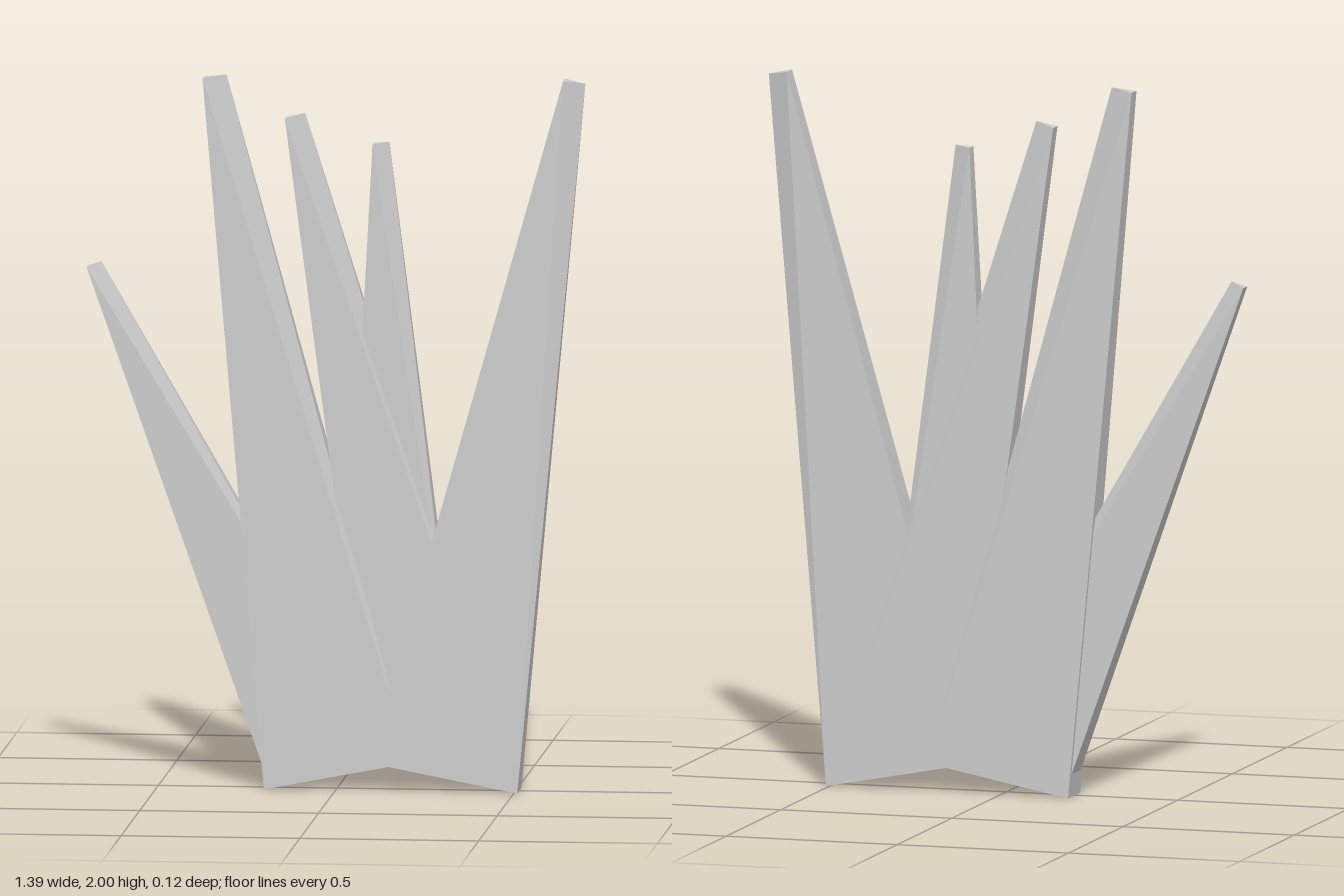
import * as THREE from 'three';

// One flat blade: a four-cornered base tapering to a three-cornered tip.
// Points are [x, y]; z is the middle plane, base/tip are thicknesses.
function blade(name, { baseL, baseR, tipL, tipR, z, base, tip }, material) {
  const b = base / 2, t = tip / 2;
  const corners = [
    [...baseL, z + b], [...baseR, z + b], [...baseR, z - b], [...baseL, z - b],
    [...tipL, z + t], [...tipL, z - t], [...tipR, z],
  ];
  const faces = [
    0, 1, 4, 1, 6, 4, // front
    1, 2, 6,          // right edge
    2, 3, 5, 2, 5, 6, // back
    3, 0, 4, 3, 4, 5, // left edge
    4, 6, 5,          // tip
    0, 3, 2, 0, 2, 1, // base
  ];
  const geometry = new THREE.BufferGeometry();
  geometry.setAttribute('position',
    new THREE.Float32BufferAttribute(faces.flatMap((i) => corners[i]), 3));
  geometry.computeVertexNormals();
  const mesh = new THREE.Mesh(geometry, material);
  mesh.name = name;
  return mesh;
}

export function createModel() {
  const group = new THREE.Group();
  group.name = 'bladeCluster';
  const material = new THREE.MeshStandardMaterial({ color: 0xcccccc, flatShading: true });

  // Fan of blades, from -x to +x
  const blades = {
    shortOuterBlade: { baseL: [-0.2, 0.05], baseR: [0.08, 0.18], tipL: [-0.7, 1.455], tipR: [-0.66, 1.47], z: -0.008, base: 0.084, tip: 0.035 },
    tallBlade: { baseL: [-0.2, 0], baseR: [0.21, 0.08], tipL: [-0.375, 1.99], tipR: [-0.31, 2], z: -0.008, base: 0.112, tip: 0.046 },
    middleBlade: { baseL: [0.09, 0.12], baseR: [0.44, 0.2], tipL: [-0.145, 1.88], tipR: [-0.09, 1.895], z: -0.008, base: 0.1, tip: 0.04 },
    narrowBlade: { baseL: [0.02, 0.26], baseR: [0.335, 0.27], tipL: [0.1, 1.812], tipR: [0.146, 1.817], z: -0.008, base: 0.09, tip: 0.036 },
    frontBlade: { baseL: [0.095, 0.08], baseR: [0.51, 0], tipL: [0.635, 2], tipR: [0.695, 1.99], z: 0.002, base: 0.114, tip: 0.05 },
  };
  for (const [name, spec] of Object.entries(blades)) group.add(blade(name, spec, material));
  return group;
}
